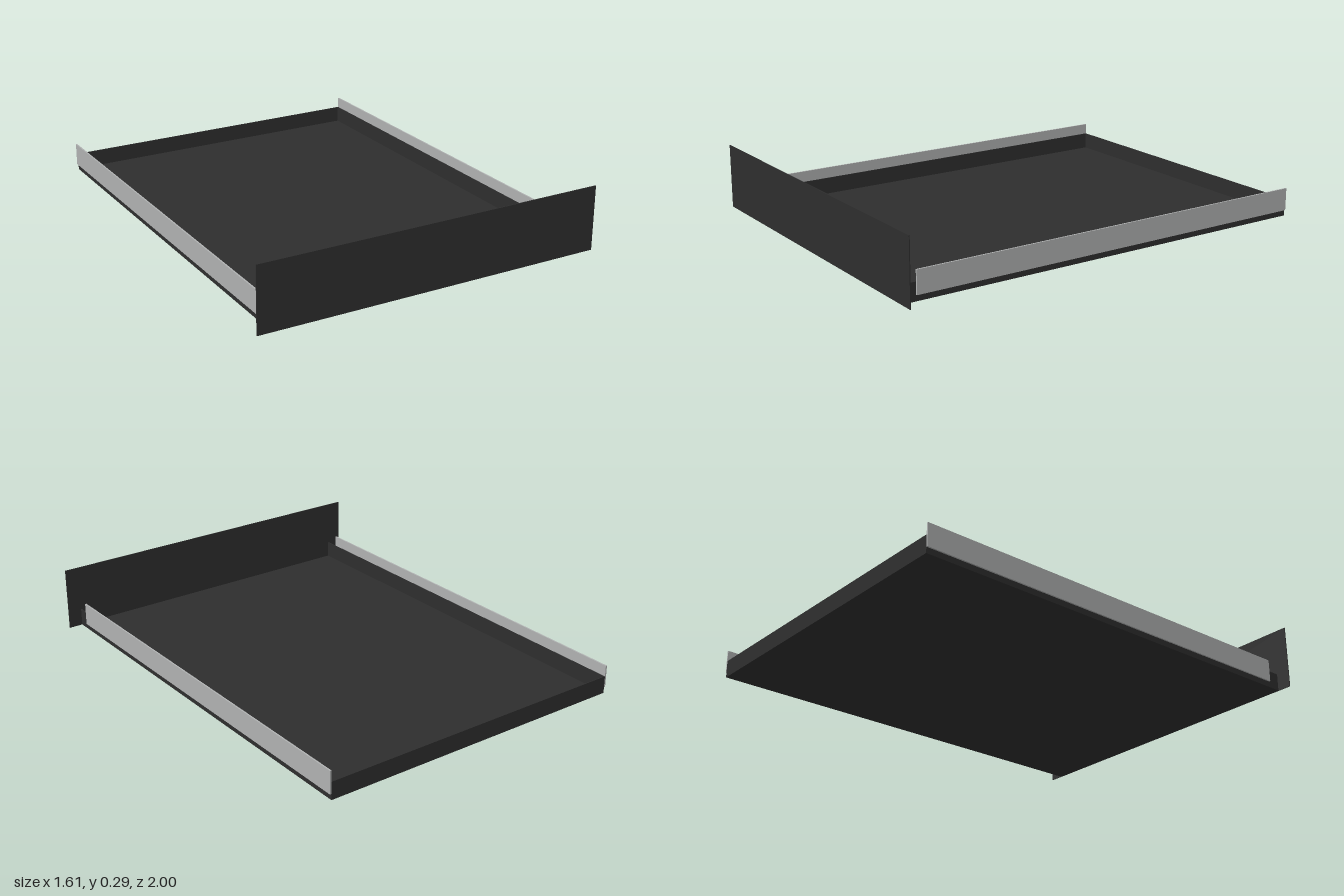
import * as THREE from 'three';

export function createModel() {
  const group = new THREE.Group();
  const darkPaint = new THREE.MeshStandardMaterial({ color: 0x2e2e2e });
  darkPaint.name = 'dark paint';
  const steel = new THREE.MeshStandardMaterial({ color: 0xb0b2b2 });
  steel.name = 'bare steel';

  // Box given by its minimum and maximum corners
  function slab(name, material, [x0, y0, z0], [x1, y1, z1]) {
    const geometry = new THREE.BoxGeometry(x1 - x0, y1 - y0, z1 - z0);
    const mesh = new THREE.Mesh(geometry, material);
    mesh.position.set((x0 + x1) / 2, (y0 + y1) / 2, (z0 + z1) / 2);
    mesh.name = name;
    group.add(mesh);
    return mesh;
  }

  const t = 0.004; // sheet thickness
  const w = 0.738; // half width of the tray
  const h = 0.08; // tray wall height

  // Shallow sheet metal tray
  slab('trayFloor', darkPaint, [-w, 0, -1], [w, t, 1 - t]);
  slab('trayBackWall', darkPaint, [-w + t, t, -1], [w - t, h, -1 + t]);

  // Tall front panel, wider than the tray
  slab('frontPanel', darkPaint, [-0.803, 0, 1 - t], [0.803, 0.293, 1]);

  // Side walls, each with a runner on the outside
  for (const [side, s] of [['left', 1], ['right', -1]]) {
    const wall = slab(side + 'Wall', darkPaint, [w - t, t, -1], [w, h, 1 - t]);
    const runner = slab(side + 'Runner', steel, [w, 0.027, -1], [w + 0.007, 0.13, 0.935]);
    wall.position.x *= s;
    runner.position.x *= s;
  }

  return group;
}
